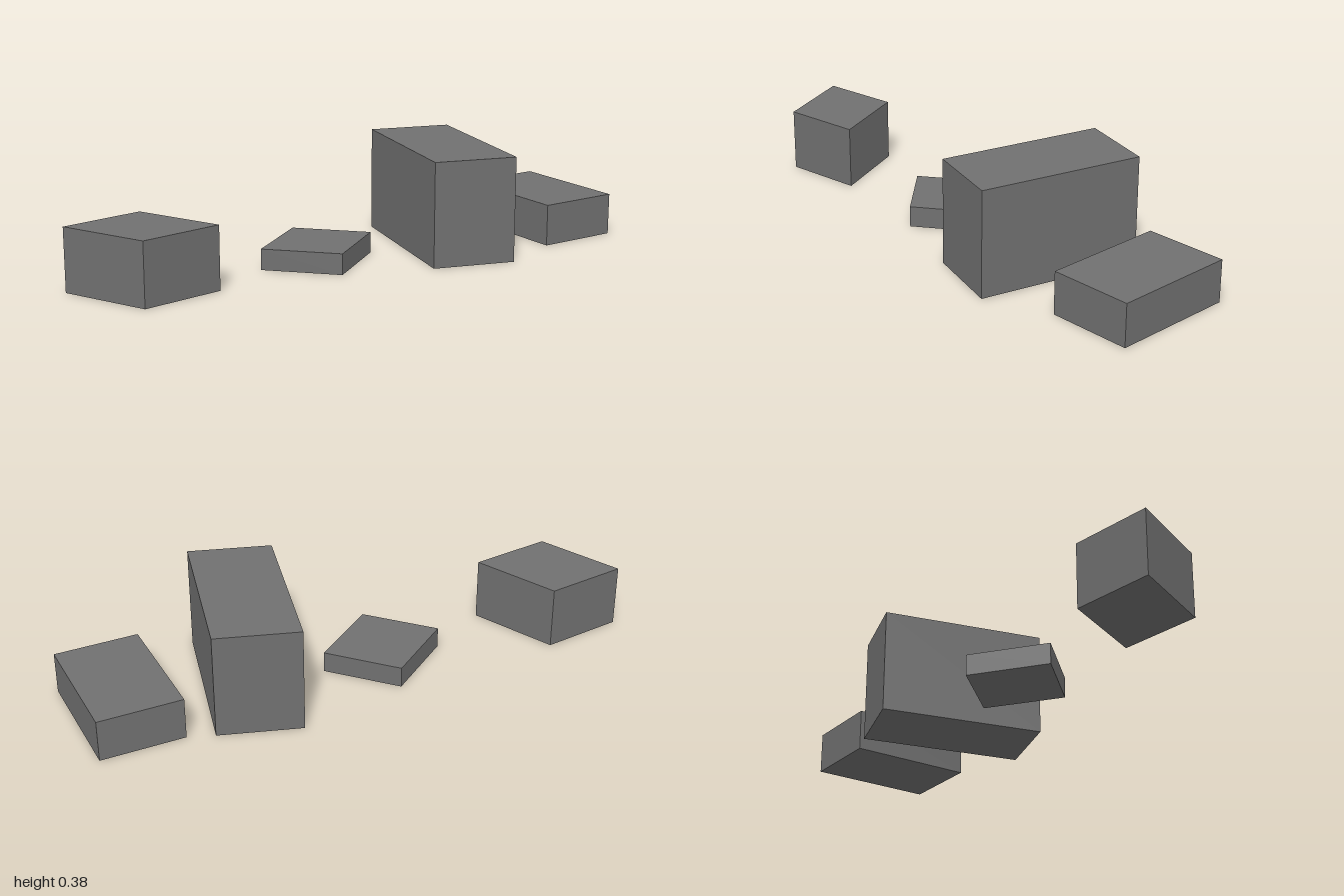
import * as THREE from 'three';

// Each block: footprint corner (x, z), its two edge vectors, and its height
const BLOCKS = [
  { name: 'farRightBlock', corner: [-1, -0.139], u: [0.292, -0.052], v: [0.153, 0.291], height: 0.225 },
  { name: 'lowSlab', corner: [-0.33, -0.04], u: [0.228, -0.188], v: [0.209, 0.195], height: 0.075 },
  { name: 'tallBlock', corner: [0.295, -0.33], u: [0.287, 0.073], v: [-0.108, 0.583], height: 0.375 },
  { name: 'farLeftBlock', corner: [0.674, -0.228], u: [0.299, -0.016], v: [0.026, 0.448], height: 0.15 },
];

// Skewed block: a parallelogram footprint raised straight up from the ground
function makeBlock({ name, corner: [x, z], u, v, height }, material) {
  const footprint = new THREE.Shape([
    new THREE.Vector2(x, -z),
    new THREE.Vector2(x + v[0], -(z + v[1])),
    new THREE.Vector2(x + u[0] + v[0], -(z + u[1] + v[1])),
    new THREE.Vector2(x + u[0], -(z + u[1])),
  ]);
  const geometry = new THREE.ExtrudeGeometry(footprint, { depth: height, bevelEnabled: false });
  geometry.rotateX(-Math.PI / 2);
  const mesh = new THREE.Mesh(geometry, material);
  mesh.name = name;
  return mesh;
}

export function createModel() {
  const group = new THREE.Group();
  group.name = 'blocks';
  const grey = new THREE.MeshStandardMaterial({ color: 0x707070 });
  grey.name = 'stone grey';
  for (const block of BLOCKS) group.add(makeBlock(block, grey));
  return group;
}
